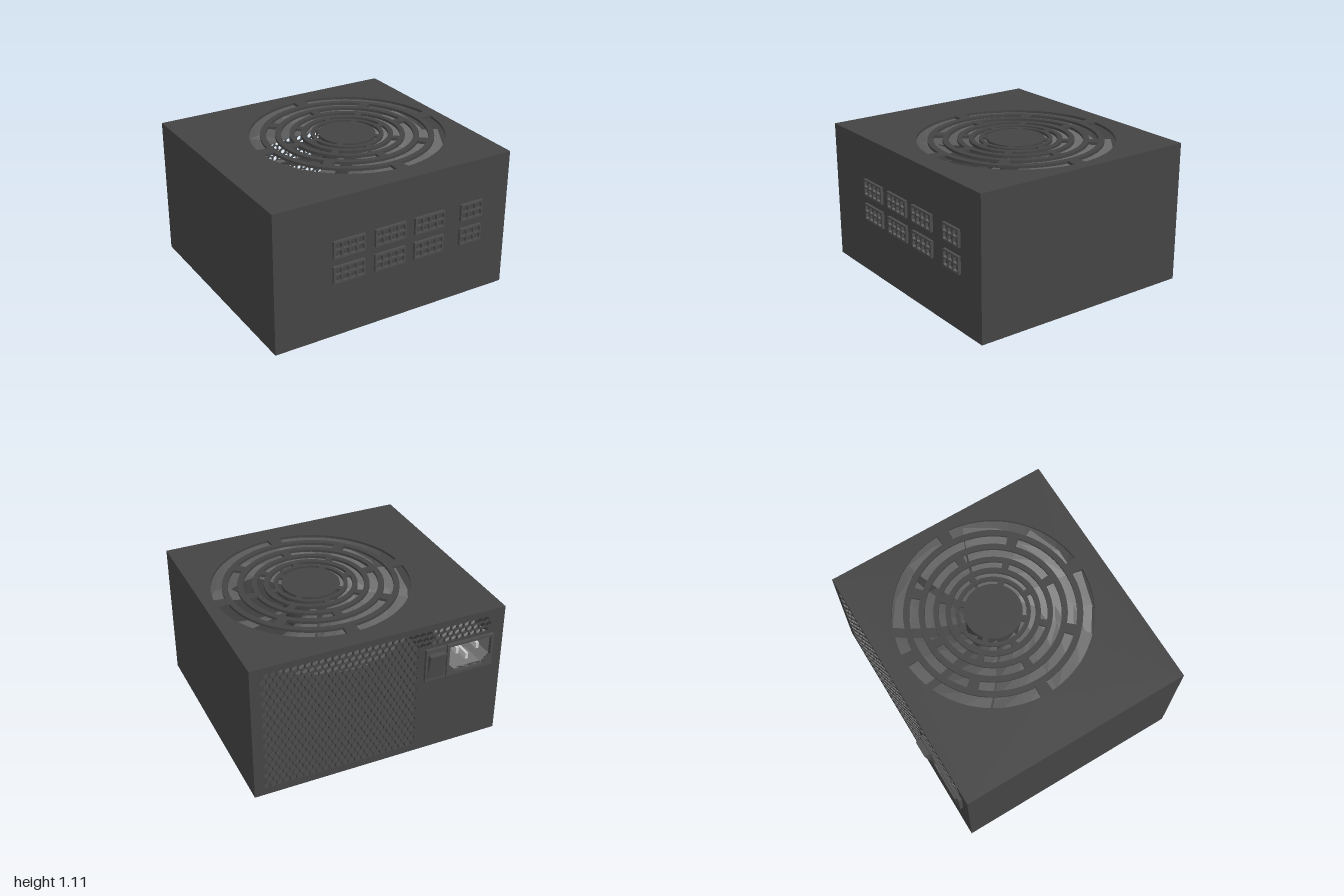
import * as THREE from 'three';

const mat = (color, extra = {}) => new THREE.MeshStandardMaterial({ color, ...extra });
const caseMat = mat(0x444444);
const plasticMat = mat(0x4c4c4c);
const cavityMat = mat(0x777777, { side: THREE.DoubleSide });
const fanMat = mat(0x666666, { side: THREE.DoubleSide, flatShading: true });
const pinMat = mat(0xcccccc);

const W = 1, H = 1.11, FRONT = 0.94, BACK = -0.89, T = 0.02;
const FAN_X = 0.153, FAN_Z = 0.015;

function add(parent, name, geometry, material, x = 0, y = 0, z = 0) {
  const mesh = new THREE.Mesh(geometry, material);
  mesh.name = name;
  mesh.position.set(x, y, z);
  parent.add(mesh);
  return mesh;
}

// Box given by its limits on each axis
function block(parent, name, material, [x0, x1], [y0, y1], [z0, z1]) {
  return add(parent, name, new THREE.BoxGeometry(x1 - x0, y1 - y0, z1 - z0), material,
    (x0 + x1) / 2, (y0 + y1) / 2, (z0 + z1) / 2);
}

function polygon(points, Type = THREE.Path) {
  return new Type(points.map(([x, y]) => new THREE.Vector2(x, y)));
}

const rect = (x0, x1, y0, y1, Type) => polygon([[x0, y0], [x1, y0], [x1, y1], [x0, y1]], Type);

const extrude = (shape, depth, curveSegments = 12) =>
  new THREE.ExtrudeGeometry(shape, { depth, bevelEnabled: false, curveSegments });

// Socket opening with two cut lower corners
const socketOutline = [[-0.89, 0.73], [-0.83, 0.665], [-0.60, 0.665], [-0.54, 0.73], [-0.54, 0.89], [-0.89, 0.89]];

// Top panel with six rings of four curved slots
function topPanel() {
  const shape = rect(-W, W, -FRONT, -BACK, THREE.Shape);
  const rings = [[0.67, 0.755], [0.555, 0.625], [0.445, 0.51], [0.355, 0.405], [0.28, 0.315], [0.22, 0.25]];
  rings.forEach(([r0, r1], i) => {
    const gap = Math.max(0.067, 0.022 / r0);
    for (let k = 0; k < 4; k++) {
      const start = (k + (i % 2) / 2) * Math.PI / 2 + gap;
      const end = start + Math.PI / 2 - 2 * gap;
      const slot = new THREE.Path();
      slot.absarc(FAN_X, -FAN_Z, r1, start, end, false);
      slot.absarc(FAN_X, -FAN_Z, r0, end, start, true);
      slot.closePath();
      shape.holes.push(slot);
    }
  });
  return extrude(shape, T, 14).rotateX(-Math.PI / 2);
}

// Back panel with the honeycomb vent and the socket opening
function backPanel() {
  const shape = rect(-W, W, 0, H, THREE.Shape);
  for (let row = 0; row < 22; row++) {
    const y = 0.08 + row * 0.0455;
    const limit = row >= 19 ? -0.88 : -0.29;
    for (let x = 0.9 - (row % 2) * 0.026; x > limit; x -= 0.052) {
      const hex = [];
      for (let k = 0; k < 6; k++) {
        const a = (k + 0.5) * Math.PI / 3;
        hex.push([x + 0.025 * Math.cos(a), y + 0.025 * Math.sin(a)]);
      }
      shape.holes.push(polygon(hex));
    }
  }
  shape.holes.push(polygon(socketOutline));
  return extrude(shape, T);
}

// Fan with pitched blades made from bent planes
function fan() {
  const group = new THREE.Group();
  group.name = 'fan';
  group.position.set(FAN_X, 0, FAN_Z);
  const count = 9;
  for (let b = 0; b < count; b++) {
    const g = new THREE.PlaneGeometry(1, 1, 2, 4);
    const p = g.attributes.position;
    for (let i = 0; i < p.count; i++) {
      const u = p.getX(i) + 0.5, r = 0.2 + 0.56 * (p.getY(i) + 0.5);
      const a = (b + u) * 2 * Math.PI / count + 0.3 * r;
      p.setXYZ(i, r * Math.cos(a), 1.04 - 0.2 * Math.pow(u, 1.4), r * Math.sin(a));
    }
    g.computeVertexNormals();
    add(group, 'fanBlade', g, fanMat);
  }
  add(group, 'fanHub', new THREE.CylinderGeometry(0.21, 0.21, 0.25, 32), caseMat, 0, 0.94);
  add(group, 'fanShroud', new THREE.CylinderGeometry(0.77, 0.77, 0.29, 36, 1, true), fanMat, 0, 0.945);
  return group;
}

// Modular cable connector with rounded pin wells
function connector(parent, x0, x1, y0, columns) {
  const y1 = y0 + 0.135, pitch = 0.062, s = 0.025, c = 0.009;
  const shape = rect(x0, x1, y0, y1, THREE.Shape);
  for (let col = 0; col < columns; col++) {
    for (let row = 0; row < 2; row++) {
      const x = (x0 + x1) / 2 + (col - (columns - 1) / 2) * pitch;
      const y = (y0 + y1) / 2 + (row - 0.5) * 0.059;
      shape.holes.push(polygon([[x - s + c, y - s], [x + s - c, y - s], [x + s, y - s + c], [x + s, y + s - c],
        [x + s - c, y + s], [x - s + c, y + s], [x - s, y + s - c], [x - s, y - s + c]]));
    }
  }
  add(parent, 'cableConnector', extrude(shape, 0.022), plasticMat, 0, 0, FRONT);
}

// Mains inlet: frame, recessed cavity and three pins
function powerSocket() {
  const group = new THREE.Group();
  group.name = 'powerSocket';
  const frame = rect(-0.91, -0.52, 0.64, 0.91, THREE.Shape);
  frame.holes.push(polygon(socketOutline));
  add(group, 'socketFrame', extrude(frame, 0.025), plasticMat, 0, 0, BACK - 0.025);

  const depth = 0.22, positions = [];
  socketOutline.forEach(([ax, ay], i) => {
    const [bx, by] = socketOutline[(i + 1) % socketOutline.length];
    const z0 = BACK, z1 = BACK + depth;
    positions.push(ax, ay, z0, bx, by, z0, bx, by, z1, ax, ay, z0, bx, by, z1, ax, ay, z1);
  });
  const walls = new THREE.BufferGeometry();
  walls.setAttribute('position', new THREE.Float32BufferAttribute(positions, 3));
  walls.computeVertexNormals();
  add(group, 'socketWalls', walls, cavityMat);
  add(group, 'socketFloor', new THREE.ShapeGeometry(polygon(socketOutline, THREE.Shape)), cavityMat, 0, 0, BACK + depth);
  for (const [x, y] of [[-0.8, 0.81], [-0.63, 0.81], [-0.715, 0.74]]) {
    block(group, 'socketPin', pinMat, [x - 0.012, x + 0.012], [y - 0.025, y + 0.025], [BACK + 0.02, BACK + depth]);
  }
  return group;
}

// Power switch: base plate and wedge rocker
function powerSwitch() {
  const group = new THREE.Group();
  group.name = 'powerSwitch';
  block(group, 'switchPlate', plasticMat, [-0.51, -0.345], [0.64, 0.91], [BACK - 0.025, BACK]);
  const wedge = polygon([[0.89, 0.66], [0.915, 0.66], [0.96, 0.875], [0.89, 0.875]], THREE.Shape);
  const g = extrude(wedge, 0.13).rotateY(Math.PI / 2);
  add(group, 'switchRocker', g, plasticMat, -0.49);
  return group;
}

export function createModel() {
  const model = new THREE.Group();
  model.name = 'powerSupply';

  // Casing
  add(model, 'topPanel', topPanel(), caseMat, 0, H - T, 0);
  add(model, 'backPanel', backPanel(), caseMat, 0, 0, BACK);
  block(model, 'bottomPanel', caseMat, [-W, W], [0, T], [BACK, FRONT]);
  block(model, 'frontPanel', caseMat, [-W, W], [0, H], [FRONT - T, FRONT]);
  for (const s of [-1, 1]) {
    const x = s * (W - T / 2);
    block(model, 'sidePanel', caseMat, [x - T / 2, x + T / 2], [0, H], [BACK, FRONT]);
  }
  model.add(fan());

  // Two rows of connectors on the front
  for (const y of [0.445, 0.645]) {
    connector(model, -0.535, -0.275, y, 4);
    connector(model, -0.19, 0.07, y, 4);
    connector(model, 0.15, 0.41, y, 4);
    connector(model, 0.56, 0.755, y, 3);
  }

  model.add(powerSocket(), powerSwitch());
  return model;
}
